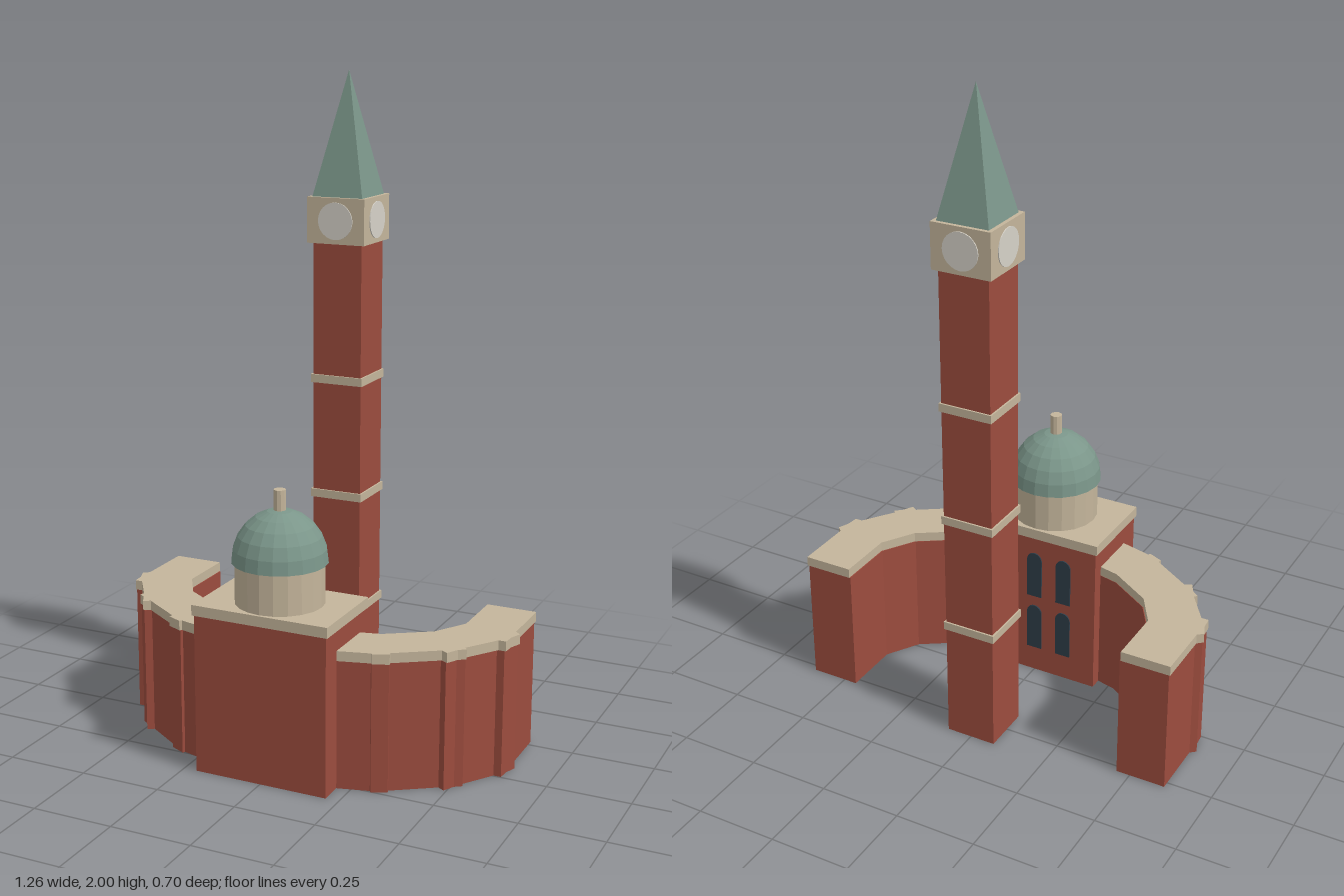
import * as THREE from 'three';

const mat = (name, color, flat = true) => {
  const m = new THREE.MeshStandardMaterial({ color, flatShading: flat });
  m.name = name;
  return m;
};

export function createModel() {
  const model = new THREE.Group();
  model.name = 'clockTowerBuilding';
  const brick = mat('red brick', 0x9c4c3e);
  const stone = mat('pale stone', 0xc4b59b);
  const copper = mat('green copper', 0x7b968a);
  const dial = mat('clock dial', 0xd6d2c8);
  const glass = mat('dark glass', 0x2f3d48);

  const add = (name, geo, material, x, y, z, parent = model) => {
    const mesh = new THREE.Mesh(geo, material);
    mesh.name = name;
    mesh.position.set(x, y, z);
    parent.add(mesh);
    return mesh;
  };
  // box standing on y0
  const block = (name, material, w, d, y0, y1, z) =>
    add(name, new THREE.BoxGeometry(w, y1 - y0, d), material, 0, (y0 + y1) / 2, z);

  // Curved wings: plan outline as [x, z], with pilasters on the outer side
  const plan = [
    [0.2, 0.275], [0.305, 0.247], [0.31, 0.254], [0.355, 0.233], [0.352, 0.222],
    [0.475, 0.14], [0.495, 0.152], [0.514, 0.117], [0.535, 0.102], [0.527, 0.092],
    [0.592, -0.003], [0.615, -0.003], [0.618, -0.04], [0.632, -0.075], [0.615, -0.09],
    [0.615, -0.273], [0.461, -0.273], [0.461, -0.09], [0.4, 0.01], [0.27, 0.095], [0.2, 0.112],
  ];
  const slab = (side, k, height) => {
    const shape = new THREE.Shape(plan.map(([x, z]) => new THREE.Vector2(side * x * k, -z * k)));
    return new THREE.ExtrudeGeometry(shape, { depth: height, bevelEnabled: false }).rotateX(-Math.PI / 2);
  };
  for (const side of [1, -1]) {
    const label = side > 0 ? 'left' : 'right';
    add(label + 'Wing', slab(side, 0.993, 0.39), brick, 0, 0, 0);
    add(label + 'WingCornice', slab(side, 1, 0.03), stone, 0, 0.39, 0);
  }

  // Central hall with drum, dome and finial
  const hallZ = 0.207;
  block('hall', brick, 0.418, 0.272, 0, 0.483, hallZ);
  block('hallCornice', stone, 0.43, 0.28, 0.483, 0.515, hallZ);
  add('drum', new THREE.CylinderGeometry(0.132, 0.132, 0.125, 20), stone, 0, 0.5775, hallZ);
  const domeGeo = new THREE.SphereGeometry(0.141, 20, 6, 0, Math.PI * 2, 0, Math.PI / 2);
  domeGeo.scale(1, 1.1, 1);
  add('dome', domeGeo, copper, 0, 0.637, hallZ);
  add('domeUnderside', new THREE.CircleGeometry(0.141, 20).rotateX(Math.PI / 2), copper, 0, 0.637, hallZ);
  add('finial', new THREE.CylinderGeometry(0.018, 0.018, 0.07, 10), stone, 0, 0.815, hallZ);

  // Arched windows on the back of the hall
  const arch = new THREE.Shape();
  arch.moveTo(-0.025, 0);
  arch.lineTo(0.025, 0);
  arch.lineTo(0.025, 0.13);
  arch.absarc(0, 0.13, 0.025, 0, Math.PI, false);
  arch.closePath();
  const archGeo = new THREE.ExtrudeGeometry(arch, { depth: 0.005, bevelEnabled: false, curveSegments: 6 });
  for (const y of [0.085, 0.275])
    for (const x of [-0.1, 0, 0.1])
      add('archedWindow', archGeo, glass, x, y, hallZ - 0.14);

  // Clock tower
  const towerZ = -0.255;
  block('towerShaft', brick, 0.156, 0.156, 0, 1.5, towerZ);
  for (const y of [0.375, 0.732, 1.09])
    block('towerBand', stone, 0.167, 0.167, y - 0.0125, y + 0.0125, towerZ);
  block('clockStage', stone, 0.184, 0.184, 1.5, 1.636, towerZ);
  const dialGeo = new THREE.CylinderGeometry(0.055, 0.055, 0.004, 24).rotateX(Math.PI / 2);
  for (let i = 0; i < 4; i++) {
    const a = i * Math.PI / 2;
    add('clockFace', dialGeo, dial, Math.sin(a) * 0.093, 1.568, towerZ + Math.cos(a) * 0.093).rotation.y = a;
  }
  const spire = new THREE.ConeGeometry(0.08 * Math.SQRT2, 0.364, 4).rotateY(Math.PI / 4);
  add('spire', spire, copper, 0, 1.818, towerZ);

  return model;
}
